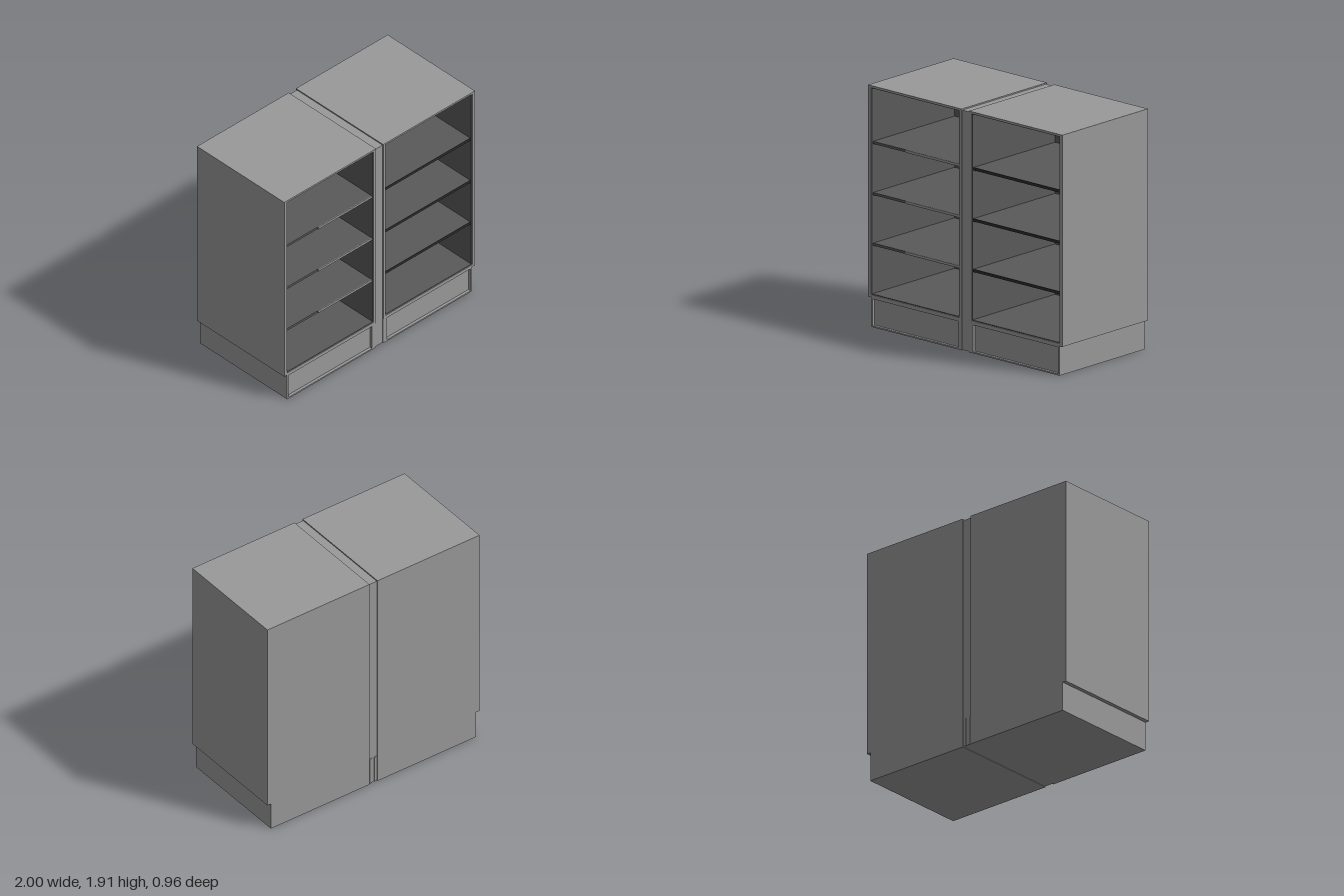
import * as THREE from 'three';

export function createModel() {
  const model = new THREE.Group();
  const shell = new THREE.MeshStandardMaterial({ color: 0x999999 });
  shell.name = 'shellGrey';
  const inner = new THREE.MeshStandardMaterial({ color: 0x5a5a5a });
  inner.name = 'interiorGrey';
  const edge = new THREE.MeshStandardMaterial({ color: 0x2e2e2e });
  edge.name = 'edgeGrey';

  // Box given by its minimum and maximum on each axis
  function box(parent, name, mat, x0, x1, y0, y1, z0, z1) {
    const m = new THREE.Mesh(new THREE.BoxGeometry(x1 - x0, y1 - y0, z1 - z0), mat);
    m.position.set((x0 + x1) / 2, (y0 + y1) / 2, (z0 + z1) / 2);
    m.name = name;
    parent.add(m);
  }

  function rectangle(target, x0, x1, y0, y1) {
    target.moveTo(x0, y0);
    target.lineTo(x1, y0);
    target.lineTo(x1, y1);
    target.lineTo(x0, y1);
    target.closePath();
    return target;
  }

  // Rectangular ring running from z0 to z1
  function ring(parent, name, outer, hole, z0, z1) {
    const shape = rectangle(new THREE.Shape(), ...outer);
    shape.holes.push(rectangle(new THREE.Path(), ...hole));
    const geo = new THREE.ExtrudeGeometry(shape, { depth: z1 - z0, bevelEnabled: false });
    geo.translate(0, 0, z0);
    const m = new THREE.Mesh(geo, shell);
    m.name = name;
    parent.add(m);
  }

  const D = 0.48, T = 0.006;
  const bottom = 0.235, top = 1.91;
  const y0 = 0.255, y1 = 1.895;

  for (const side of [-1, 1]) {
    const cabinet = new THREE.Group();
    cabinet.name = side < 0 ? 'rightCabinet' : 'leftCabinet';
    model.add(cabinet);
    const span = (a, b) => (side > 0 ? [a, b] : [-b, -a]);
    const [o0, o1] = span(0.038, 1);
    const [x0, x1] = span(0.062, 0.972);

    // Open carcass with its back
    ring(cabinet, 'carcass', [o0, o1, bottom, top], [x0, x1, y0, y1], -D, D);
    box(cabinet, 'backPanel', shell, x0, x1, y0, y1, -D, -D + 0.02);

    // Interior lining
    const zb = -D + 0.02, zf = D - 0.006;
    box(cabinet, 'backLining', inner, x0, x1, y0, y1, zb, zb + T);
    box(cabinet, 'floorLining', inner, x0, x1, y0, y0 + T, zb, zf);
    box(cabinet, 'ceilingLining', inner, x0, x1, y1 - T, y1, zb, zf);
    box(cabinet, 'sideLining', inner, x0, x0 + T, y0, y1, zb, zf);
    box(cabinet, 'sideLining', inner, x1 - T, x1, y0, y1, zb, zf);

    // Shelves with edge strips
    for (const y of [0.65, 1.05, 1.455]) {
      box(cabinet, 'shelf', inner, x0, x1, y - 0.01, y + 0.01, zb, D - 0.02);
      if (side > 0) {
        box(cabinet, 'shelfEdge', edge, x0, x1, y - 0.011, y + 0.011, D - 0.02, D - 0.014);
      } else {
        box(cabinet, 'shelfEdge', shell, -0.63, x1, y - 0.01, y + 0.01, D - 0.02, D - 0.014);
      }
    }

    // Plinth with a recessed front panel
    const [p0, p1] = span(0.038, 0.967);
    const [r0, r1] = span(0.078, 0.955);
    box(cabinet, 'plinth', shell, p0, p1, 0, bottom, -D, D - 0.025);
    ring(cabinet, 'plinthFrame', [p0, p1, 0, bottom], [r0, r1, 0.012, 0.223], D - 0.025, D - 0.002);
  }

  // Filler strip between the cabinets
  box(model, 'filler', shell, -0.038, 0.038, 0.004, 1.9, -D + 0.01, D - 0.008);
  // Narrow ribs low on the back of the filler
  for (const x of [-0.022, 0.022]) {
    box(model, 'fillerRib', shell, x - 0.01, x + 0.01, 0.004, 0.235, -D + 0.003, -D + 0.01);
  }
  return model;
}
